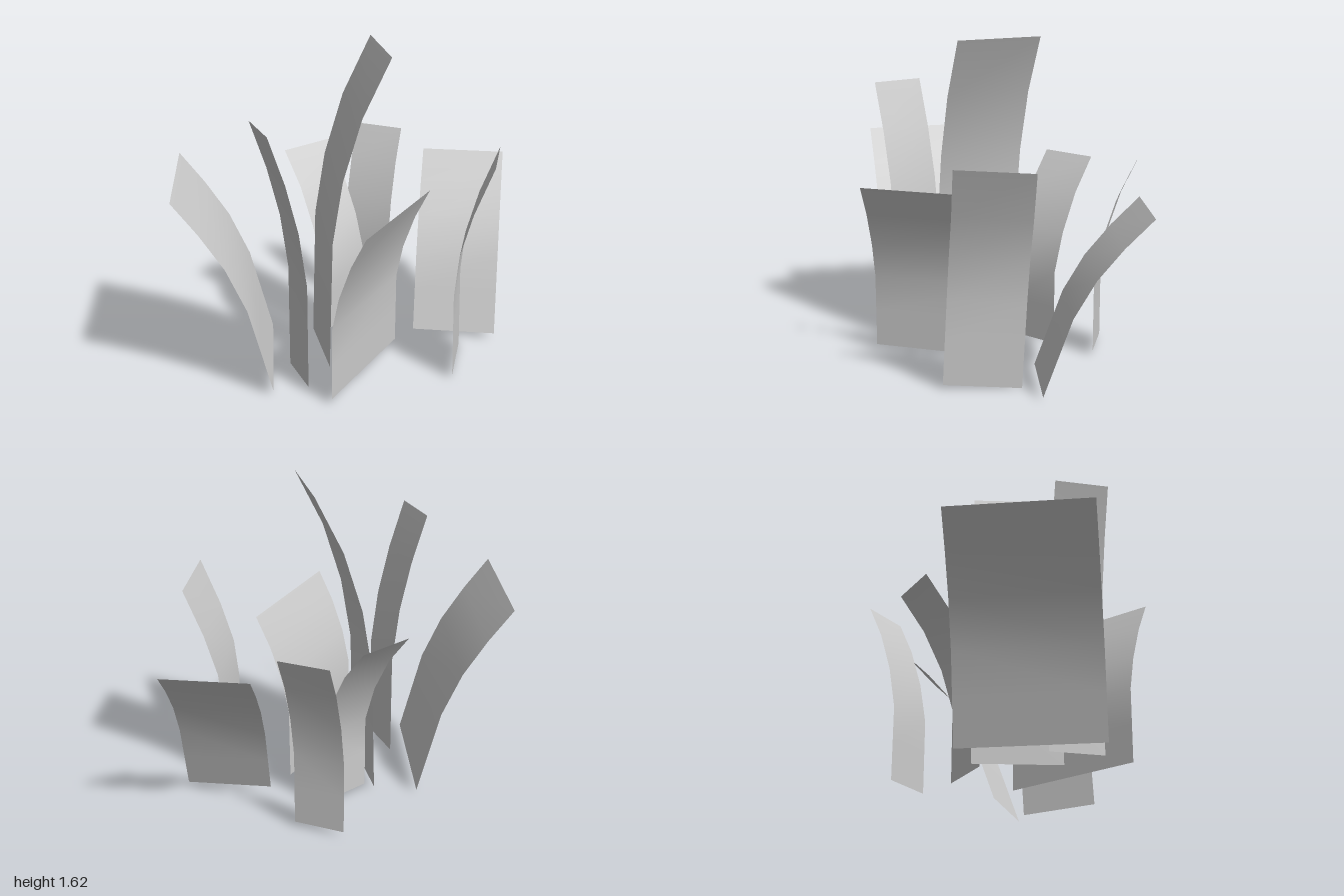
import * as THREE from 'three';

const material = new THREE.MeshStandardMaterial({ color: 0xcccccc, side: THREE.DoubleSide });

// A curved strip: base edge a-b [x, z] swept through offsets [dx, y, dz]; tilt drops the b side.
function makeBlade({ name, a, b, path, tilt = 0 }) {
  const positions = [], indices = [];
  path.forEach(([dx, y, dz], i) => {
    positions.push(a[0] + dx, y, a[1] + dz);
    positions.push(b[0] + dx, y - tilt, b[1] + dz);
    if (i > 0) {
      const k = 2 * (i - 1);
      indices.push(k, k + 1, k + 3, k, k + 3, k + 2);
    }
  });
  const geometry = new THREE.BufferGeometry();
  geometry.setAttribute('position', new THREE.Float32BufferAttribute(positions, 3));
  geometry.setIndex(indices);
  geometry.computeVertexNormals();
  const mesh = new THREE.Mesh(geometry, material);
  mesh.name = name;
  return mesh;
}

// Upright bend: lean = total [dx, dz], steps = [fraction of lean, height].
// The lower two fifths are straight, so a midpoint row is added there.
function bend([lx, lz], steps) {
  const [[f0, y0], [f1, y1]] = steps;
  const rows = [steps[0], [(f0 + f1) / 2, (y0 + y1) / 2], ...steps.slice(1)];
  return rows.map(([f, y]) => [f * lx, y, f * lz]);
}

const blades = [
  {
    name: 'wideLeftBlade', a: [-0.6, 0.23], b: [-0.27, -0.385],
    path: bend([-0.397, -0.217], [[0, 0.03], [0.25, 0.46], [0.47, 0.68], [0.73, 0.86], [1, 1.02]]),
  },
  {
    name: 'narrowLeftBlade', a: [-0.437, 0.29], b: [-0.395, 0.03],
    path: bend([-0.18, -0.027], [[0, 0.03], [0, 0.57], [0.21, 0.85], [0.55, 1.1], [1, 1.345]]),
  },
  {
    name: 'tallCentreBlade', a: [-0.245, 0.17], b: [-0.105, -0.24],
    path: bend([0.288, 0.102], [[0, 0.03], [0.06, 0.7], [0.23, 1.02], [0.54, 1.33], [1, 1.62]]),
  },
  {
    name: 'wideFrontBlade', a: [-0.4, 0.45], b: [0.2, 0.09],
    path: bend([0.095, 0.155], [[0, 0.03], [0.02, 0.4], [0.22, 0.57], [0.57, 0.745], [1, 0.9]]),
  },
  {
    name: 'wideRightBlade', a: [0.345, 0.045], b: [0.68, 0.315],
    path: bend([0.315, -0.39], [[0, 0.03], [0.27, 0.41], [0.48, 0.59], [0.73, 0.74], [1, 0.875]]),
  },
  {
    name: 'tiltedFrontBlade', a: [0.24, 0.55], b: [0.487, 0.265], tilt: 0.02,
    path: [[0, 0.025, 0], [0.005, 0.235, -0.01], [0.01, 0.445, -0.02],
      [0.033, 0.655, -0.015], [0.088, 0.87, 0.015], [0.165, 1.11, 0.07]],
  },
  {
    name: 'backRightBlade', a: [0.26, -0.515], b: [0.41, -0.305],
    path: bend([0.147, -0.107], [[0, 0.03], [0, 0.41], [0.21, 0.62], [0.56, 0.82], [1, 0.99]]),
  },
  {
    name: 'backBlade', a: [-0.08, -0.19], b: [0.205, -0.23],
    path: bend([-0.04, -0.3], [[0, 0.03], [0, 0.41], [0.22, 0.61], [0.56, 0.8], [1, 0.965]]),
  },
];

export function createModel() {
  const group = new THREE.Group();
  group.name = 'grassClump';
  for (const blade of blades) group.add(makeBlade(blade));
  return group;
}
